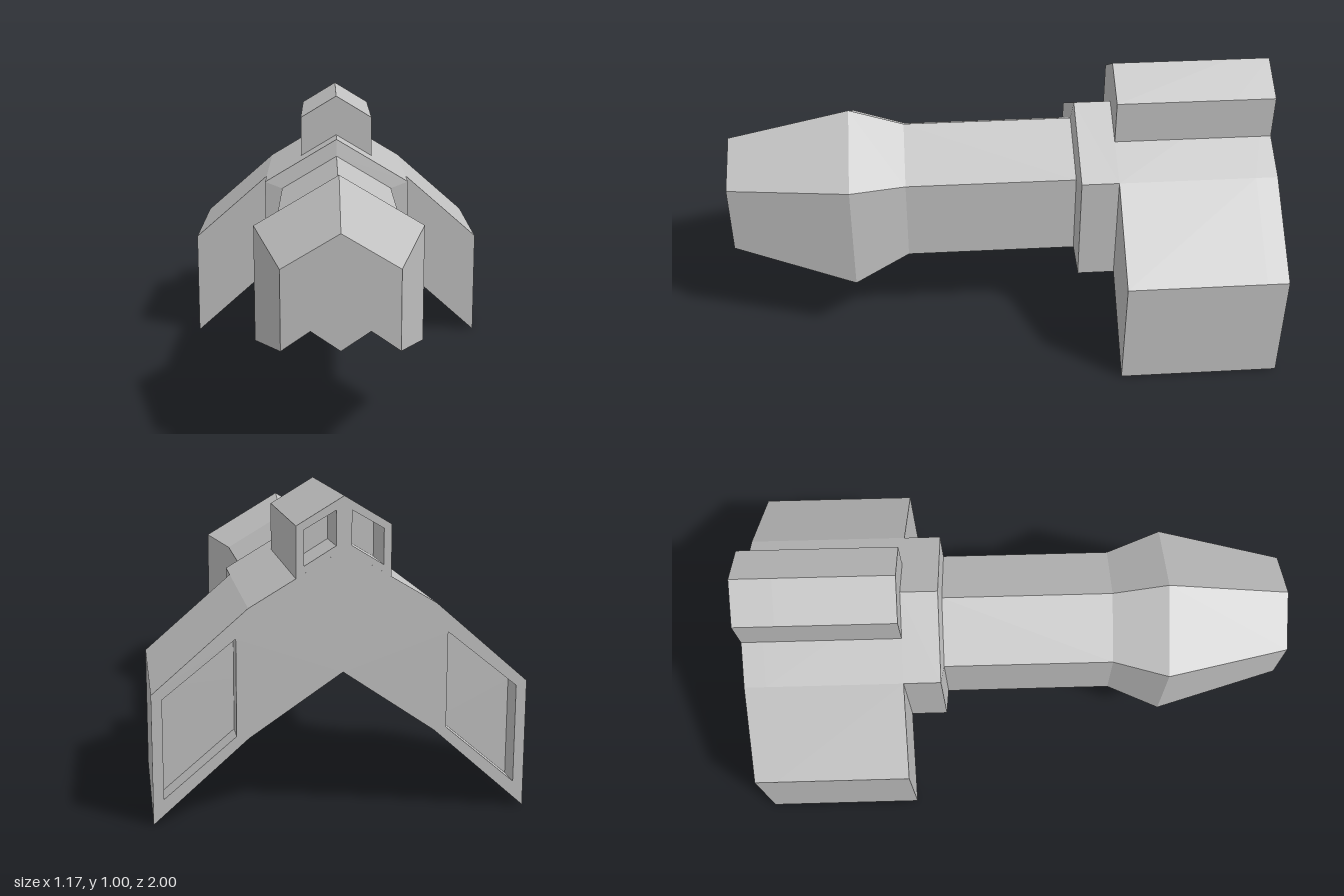
import * as THREE from 'three';

const grey = new THREE.MeshStandardMaterial({ color: 0xc0c0c0, flatShading: true });
grey.name = 'hull grey';

// Mirror a right-hand half outline (first and last points on the centre line)
const mirror = (half) => [
  ...half,
  ...half.slice(1, -1).reverse().map(([x, y]) => [-x, y]),
];
const toPath = (Type, pts) => new Type(pts.map(([x, y]) => new THREE.Vector2(x, y)));

// Straight prism between two z positions, with optional holes
function prism(name, outline, back, front, holes = []) {
  const shape = toPath(THREE.Shape, outline);
  shape.holes = holes.map((h) => toPath(THREE.Path, h));
  const geo = new THREE.ExtrudeGeometry(shape, { depth: front - back, bevelEnabled: false });
  geo.translate(0, 0, back);
  const mesh = new THREE.Mesh(geo, grey);
  mesh.name = name;
  return mesh;
}

// Solid block whose rear face has a mirrored pair of recesses
function recessedBlock(name, half, hole, depth) {
  const group = new THREE.Group();
  group.name = name;
  const outline = mirror(half);
  const holes = [hole, hole.map(([x, y]) => [-x, y])];
  group.add(prism(name + 'Body', outline, -1 + depth, -0.42));
  group.add(prism(name + 'RearFrame', outline, -1, -1 + depth, holes));
  return group;
}

// Hull cross-section: roofed top, vertical sides, chevron underside with a centre keel
function hullSection(s, keelY) {
  const y = (v) => 0.562 + v * s;
  const half = [
    [0, keelY ?? y(-0.102)],
    [0.146 * s, y(-0.2)],
    [0.29 * s, y(-0.3)],
    [0.29 * s, y(0.105)],
    [0, y(0.278)],
  ];
  return mirror(half);
}

// Skin a row of equal-length sections from front to back, with a front cap
function loft(name, stations) {
  const rings = stations.map(([z, s, keelY]) => hullSection(s, keelY).map(([x, y]) => [x, y, z]));
  const n = rings[0].length;
  const pos = [];
  const tri = (...p) => p.forEach((v) => pos.push(...v));
  for (let k = 0; k < rings.length - 1; k++) {
    for (let i = 0; i < n; i++) {
      const j = (i + 1) % n;
      const [a, b, c, d] = [rings[k][i], rings[k][j], rings[k + 1][j], rings[k + 1][i]];
      tri(a, d, b);
      tri(b, d, c);
    }
  }
  const contour = rings[0].map(([x, y]) => new THREE.Vector2(x, y));
  THREE.ShapeUtils.triangulateShape(contour, []).forEach((f) => tri(...f.map((i) => rings[0][i])));
  const geo = new THREE.BufferGeometry();
  geo.setAttribute('position', new THREE.Float32BufferAttribute(pos, 3));
  geo.computeVertexNormals();
  const mesh = new THREE.Mesh(geo, grey);
  mesh.name = name;
  return mesh;
}

export function createModel() {
  const model = new THREE.Group();
  model.name = 'spacecraft';

  // Nose, neck and collar: [z, scale, keel height]
  model.add(loft('fuselage', [
    [1, 0.64, 0.37],
    [0.55, 1, 0.337],
    [0.35, 0.76],
    [-0.273, 0.76],
    [-0.284, 1],
    [-0.42, 1],
  ]));

  // Drooping wings with engine recesses in the rear face
  model.add(recessedBlock(
    'wings',
    [[0, 0.46], [0.29, 0.262], [0.585, 0], [0.585, 0.41], [0.29, 0.667], [0, 0.84]],
    [[0.328, 0.27], [0.552, 0.08], [0.552, 0.395], [0.328, 0.575]],
    0.08,
  ));

  // Dorsal housing with two smaller exhaust recesses
  model.add(recessedBlock(
    'dorsalHousing',
    [[0, 0.84], [0.146, 0.753], [0.146, 0.912], [0, 1]],
    [[0.024, 0.85], [0.122, 0.79], [0.122, 0.9], [0.024, 0.957]],
    0.15,
  ));

  return model;
}
